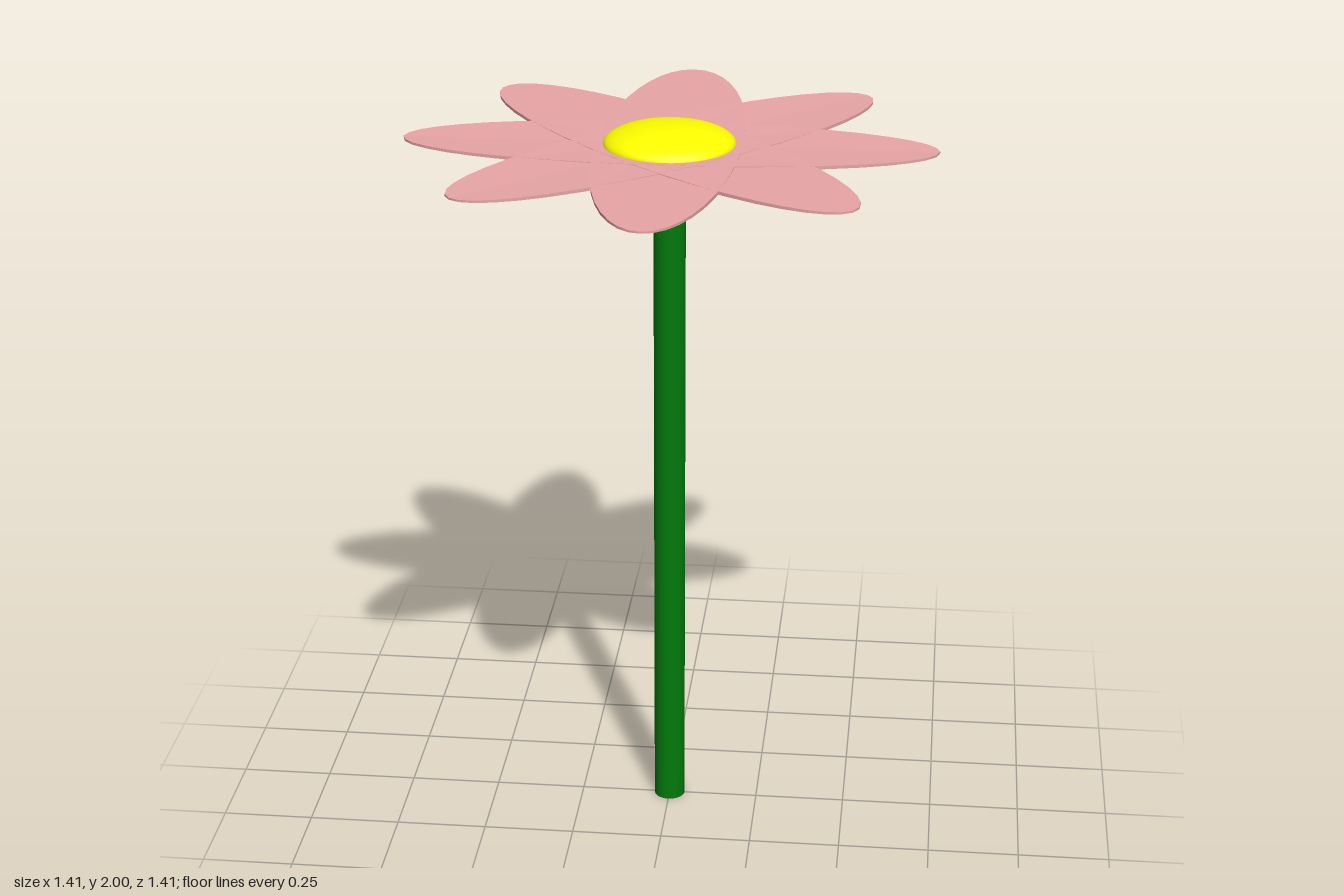
import * as THREE from 'three';

const material = (color) => new THREE.MeshStandardMaterial({ color });

export function createModel() {
  const flower = new THREE.Group();
  flower.name = 'flower';
  const headY = 1.95;

  // Stem, running up into the flower head
  const stem = new THREE.Mesh(new THREE.CylinderGeometry(0.043, 0.043, headY, 32), material(0x007a0a));
  stem.name = 'stem';
  stem.position.y = headY / 2;
  flower.add(stem);

  // Domed centre, a flattened sphere
  const centre = new THREE.Mesh(new THREE.SphereGeometry(0.175, 48, 32), material(0xffff00));
  centre.name = 'centre';
  centre.scale.y = 0.05 / 0.175;
  centre.position.y = headY;
  flower.add(centre);

  // Petals: thin elliptical discs, each rolled a touch so it overlaps the next
  const petalGeometry = new THREE.CylinderGeometry(1, 1, 0.005, 40);
  petalGeometry.scale(0.192, 1, 0.705);
  petalGeometry.rotateZ(0.012);
  const petalMaterial = material(0xe8a5a5);
  const petals = new THREE.Group();
  petals.name = 'petals';
  petals.position.y = headY - 0.002;
  for (let i = 0; i < 8; i++) {
    const petal = new THREE.Mesh(petalGeometry, petalMaterial);
    petal.name = 'petal';
    petal.rotation.y = (i * Math.PI) / 4;
    petals.add(petal);
  }
  flower.add(petals);

  return flower;
}
